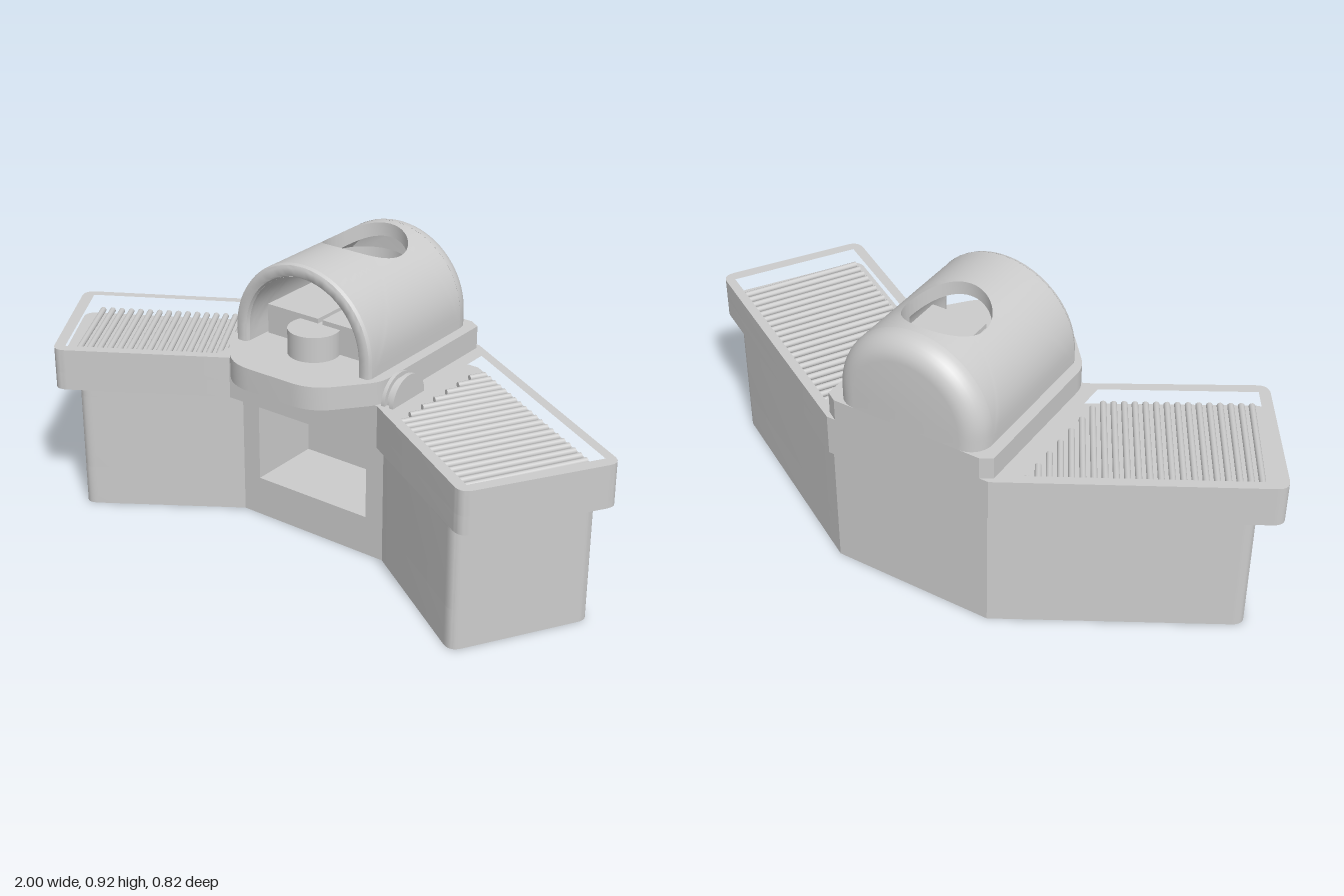
import * as THREE from 'three';
import { toCreasedNormals } from 'three/addons/utils/BufferGeometryUtils.js';

const material = new THREE.MeshStandardMaterial({ color: 0xcccccc });
const thin = new THREE.MeshStandardMaterial({ color: 0xcccccc, side: THREE.DoubleSide });

// Closed outline from [x, z, rounding] corners
function outline(points, Type = THREE.Shape) {
  const path = new Type();
  points.forEach(([x, z, r = 0], i) => {
    const corner = new THREE.Vector2(x, -z);
    const toward = (j) => {
      const p = points[(j + points.length) % points.length];
      return new THREE.Vector2(p[0], -p[1]).sub(corner).setLength(r).add(corner);
    };
    const a = toward(i - 1), b = toward(i + 1);
    if (i) path.lineTo(a.x, a.y); else path.moveTo(a.x, a.y);
    if (r) path.quadraticCurveTo(corner.x, corner.y, b.x, b.y);
  });
  path.closePath();
  return path;
}

const flip = (points) => points.map(([x, z, r]) => [-x, z, r]).reverse();
const symmetric = (half) => [...half, ...flip(half)];

// Horizontal slab between two heights
function slab(points, y0, y1, holes = []) {
  const shape = outline(points);
  shape.holes = holes.map((h) => outline(h, THREE.Path));
  const g = new THREE.ExtrudeGeometry(shape, { depth: y1 - y0, bevelEnabled: false, curveSegments: 8 });
  g.rotateX(-Math.PI / 2).translate(0, y0, 0);
  return toCreasedNormals(g, 0.45);
}

// Surface through rows of points
function surface(rows) {
  const w = rows[0].length, index = [];
  for (let j = 0; j < rows.length - 1; j++) {
    for (let i = 0; i < w - 1; i++) {
      const a = j * w + i, b = a + w;
      index.push(a, b, a + 1, a + 1, b, b + 1);
    }
  }
  const g = new THREE.BufferGeometry();
  g.setAttribute('position', new THREE.Float32BufferAttribute(rows.flat(2), 3));
  g.setIndex(index);
  return toCreasedNormals(g, 0.6);
}

// Point on the round arch: v runs -1..1 from foot to foot
const SPRING = 0.665, FLOOR = 0.62;
function arch(v, r, z) {
  const a = THREE.MathUtils.clamp(v / 0.9, -1, 1) * Math.PI / 2;
  const leg = Math.max(0, (Math.abs(v) - 0.9) / 0.1);
  return [r * Math.sin(a), SPRING + r * Math.cos(a) - leg * (SPRING - FLOOR), z];
}
const archLoft = (profile) => surface(profile.map(([r, z]) =>
  Array.from({ length: 49 }, (_, i) => arch(i / 24 - 1, r, z))));

export function createModel() {
  const model = new THREE.Group();
  const add = (name, geometry, mat = material, parent = model) => {
    const mesh = new THREE.Mesh(geometry, mat);
    mesh.name = name;
    parent.add(mesh);
    return mesh;
  };

  // Base with a storage niche in the front
  const baseHalf = [[0.27, -0.4], [0.937, -0.012, 0.04], [0.705, 0.37, 0.04], [0.27, 0.085]];
  const base = symmetric(baseHalf);
  const notched = symmetric([...baseHalf, [0.207, 0.085], [0.207, -0.165]]);
  add('baseLower', slab(base, 0, 0.13));
  add('baseNiche', slab(notched, 0.13, 0.38));
  add('baseUpper', slab(base, 0.38, 0.412));

  // Countertop with a sunken tray in each wing
  const counter = symmetric([[0.28, -0.41], [1.014, 0.014, 0.04], [0.757, 0.422, 0.04], [0.28, 0.135]]);
  const tray = [[0.33, -0.346], [0.965, 0.02], [0.745, 0.375], [0.33, 0.13]];
  add('counterLower', slab(counter, 0.412, 0.47));
  add('counterRim', slab(counter, 0.47, 0.547, [tray, flip(tray)]));

  // Rods laid across each tray, clipped to its outline
  const u = [Math.cos(Math.PI / 6), 0.5], d = [-0.5, Math.cos(Math.PI / 6)];
  const dot = (p, q) => p[0] * q[0] + p[1] * q[1];
  for (const side of [1, -1]) {
    const rods = new THREE.Group();
    rods.name = side > 0 ? 'leftGrill' : 'rightGrill';
    model.add(rods);
    for (let t = 0.145; t < 0.83; t += 0.032) {
      const hits = [];
      tray.forEach((p, i) => {
        const q = tray[(i + 1) % tray.length];
        const a = dot(p, u) - t, b = dot(q, u) - t;
        if (a * b < 0) hits.push(THREE.MathUtils.lerp(dot(p, d), dot(q, d), a / (a - b)));
      });
      if (hits.length < 2) continue;
      const mid = (hits[0] + hits[1]) / 2;
      const rod = add('rod', new THREE.CylinderGeometry(0.01, 0.01, Math.abs(hits[0] - hits[1]), 10), material, rods);
      rod.position.set(side * (t * u[0] + mid * d[0]), 0.495, t * u[1] + mid * d[1]);
      rod.quaternion.setFromUnitVectors(new THREE.Vector3(0, 1, 0), new THREE.Vector3(side * d[0], 0, d[1]));
    }
  }

  // Oven plinth
  add('plinth', slab(symmetric([[0.25, -0.41], [0.285, -0.388], [0.285, 0.12, 0.04], [0.15, 0.283, 0.07]]), 0.547, FLOOR));

  // Oven vault: sheets spread from the round flue opening to the vault edges
  const HR = 0.13, HZ = -0.185, Z0 = -0.34, Z1 = 0.12, N = 24, RINGS = 12;
  const border = [];
  const ends = [[-1, Z0], [1, Z0], [1, Z1], [-1, Z1]];
  ends.forEach((p, i) => {
    const q = ends[(i + 1) % 4];
    for (let k = 0; k < N; k++) border.push([p[0] + (q[0] - p[0]) * k / N, p[1] + (q[1] - p[1]) * k / N]);
  });
  border.push(border[0]);
  const ring = (f, r) => border.map(([v, z]) => {
    const a = Math.atan2(z - HZ, v * 0.38);
    const hv = 0.9 * Math.asin(HR * Math.cos(a) / r) / (Math.PI / 2), hz = HZ + HR * Math.sin(a);
    return arch(hv + (v - hv) * f, r, hz + (z - hz) * f);
  });
  const OUT = 0.25, IN = 0.207, vaultRows = [];
  for (let j = RINGS; j >= 0; j--) vaultRows.push(ring(j / RINGS, IN));
  for (let j = 0; j <= RINGS; j++) vaultRows.push(ring(j / RINGS, OUT));
  add('ovenVault', surface(vaultRows), thin);

  // Front lip and rounded back of the oven
  add('ovenLip', archLoft([[IN, Z1], [IN + 0.004, 0.131], [IN + 0.01, 0.135], [0.238, 0.135], [0.246, 0.131], [OUT, Z1]]), thin);
  const back = [];
  for (let i = 0; i <= 8; i++) {
    const a = i / 8 * Math.PI / 2;
    back.push([OUT - 0.07 * (1 - Math.cos(a)), Z0 - 0.07 * Math.sin(a)]);
  }
  add('ovenBack', archLoft([...back, [0, Z0 - 0.07]]), thin);

  // Inner rear wall either side of the half-round flue
  for (const side of [1, -1]) {
    const cheek = new THREE.Shape();
    cheek.moveTo(side * HR, FLOOR);
    cheek.lineTo(side * IN, FLOOR);
    for (let i = 0; i <= 10; i++) {
      const x = IN + (HR - IN) * i / 10;
      cheek.lineTo(side * x, SPRING + Math.sqrt(Math.max(0, IN * IN - x * x)));
    }
    add('rearCheek', new THREE.ShapeGeometry(cheek).translate(0, 0, HZ), thin);
  }
  const flue = new THREE.CylinderGeometry(HR, HR, 0.21, 32, 1, true, Math.PI / 2, Math.PI);
  add('flue', flue, thin).position.set(0, 0.725, HZ);

  // Hearth blocks and the round hub in front of them
  for (const side of [1, -1]) {
    add('hearthBlock', new THREE.BoxGeometry(0.192, 0.095, 0.36)).position.set(side * 0.104, FLOOR + 0.0475, -0.14);
  }
  add('hearthCore', new THREE.BoxGeometry(0.02, 0.08, 0.36)).position.set(0, FLOOR + 0.04, -0.14);
  add('hearthHub', new THREE.CylinderGeometry(0.08, 0.08, 0.08, 32)).position.set(0, FLOOR + 0.04, 0.07);

  // Half-sunk grooved wheel beside the plinth
  for (const [x, r, w] of [[0.293, 0.08, 0.012], [0.307, 0.066, 0.03], [0.322, 0.08, 0.014]]) {
    const disc = new THREE.CylinderGeometry(r, r, w, 32, 1, false, 0, Math.PI);
    add('wheelDisc', disc.rotateZ(Math.PI / 2), thin).position.set(x, 0.547, 0.045);
  }
  return model;
}
